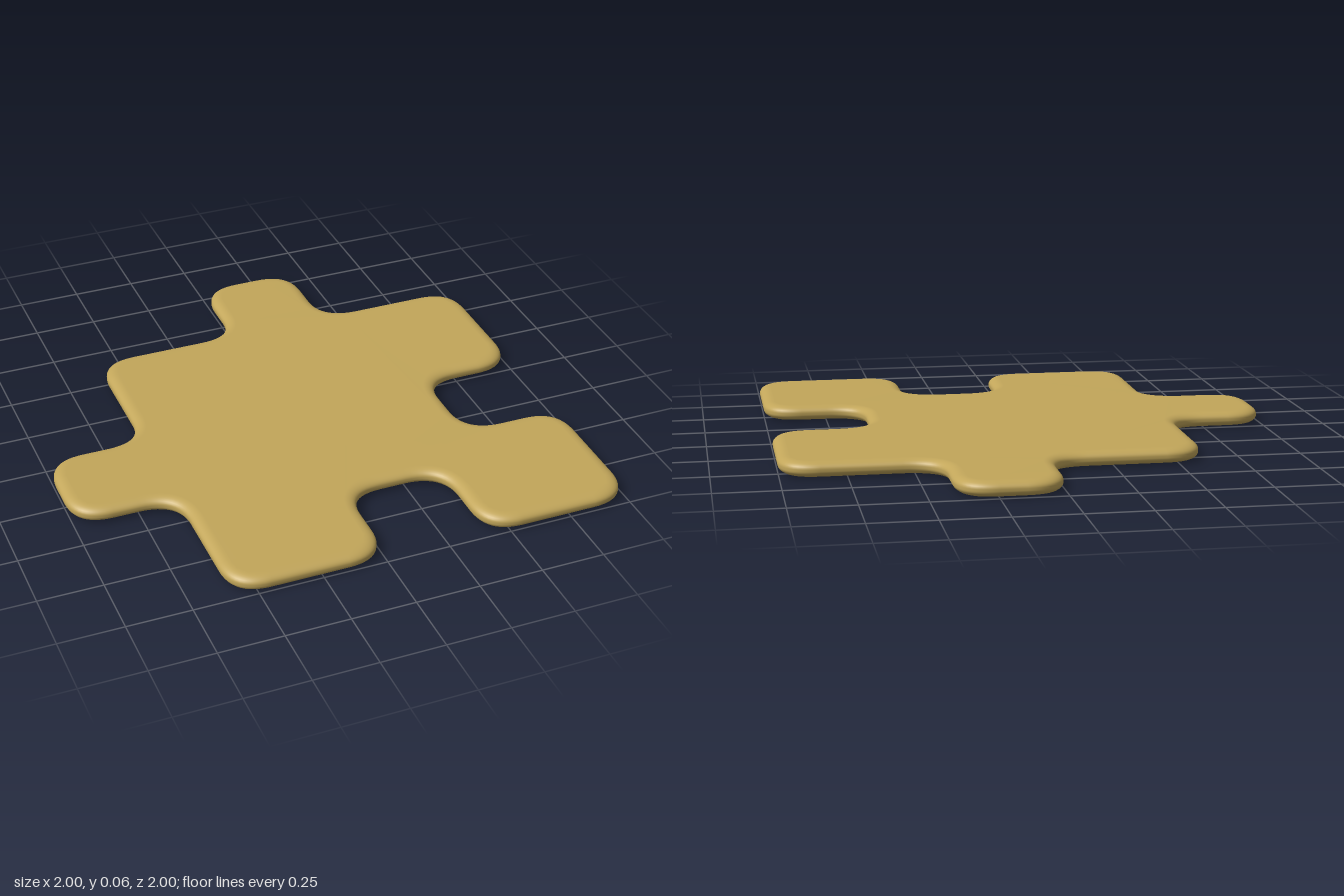
import * as THREE from 'three';
import { mergeVertices } from 'three/addons/utils/BufferGeometryUtils.js';

// Corners of the piece as [x, z], going round: two tabs and two matching notches
const CORNERS = [
  [-0.6, -0.6], [0, -0.6], [0, -1], [0.4, -1], [0.4, -0.6],
  [1, -0.6], [1, 0], [0.6, 0], [0.6, 0.4], [1, 0.4],
  [1, 1], [0.4, 1], [0.4, 0.6], [0, 0.6], [0, 1],
  [-0.6, 1], [-0.6, 0.4], [-1, 0.4], [-1, 0], [-0.6, 0],
];

// Closed outline with every corner eased by a soft curve
function softOutline(corners, ease) {
  const points = corners.map(([x, z]) => new THREE.Vector2(x, -z));
  const shape = new THREE.Shape();
  points.forEach((p, i) => {
    const before = points[(i + points.length - 1) % points.length];
    const after = points[(i + 1) % points.length];
    const a = before.clone().sub(p).setLength(ease).add(p);
    const b = after.clone().sub(p).setLength(ease).add(p);
    if (i === 0) shape.moveTo(a.x, a.y);
    else shape.lineTo(a.x, a.y);
    shape.quadraticCurveTo(p.x, p.y, b.x, b.y);
  });
  shape.closePath();
  return shape;
}

export function createModel() {
  const group = new THREE.Group();
  group.name = 'puzzlePiece';

  // Thin slab with a rounded rim above and below
  const height = 0.06, rim = 0.026;
  let geometry = new THREE.ExtrudeGeometry(softOutline(CORNERS, 0.15), {
    depth: height - 2 * rim,
    curveSegments: 12,
    bevelThickness: rim,
    bevelSize: 0.045,
    bevelOffset: -0.045,
    bevelSegments: 8,
  });
  geometry.translate(0, 0, rim);
  geometry.rotateX(-Math.PI / 2);

  // Weld the rim and caps so the shading runs smoothly over the edge
  geometry.deleteAttribute('normal');
  geometry.deleteAttribute('uv');
  geometry = mergeVertices(geometry, 1e-4);
  geometry.computeVertexNormals();

  const slab = new THREE.Mesh(geometry, new THREE.MeshStandardMaterial({ color: 0xc2a65a }));
  slab.name = 'slab';
  group.add(slab);
  return group;
}
